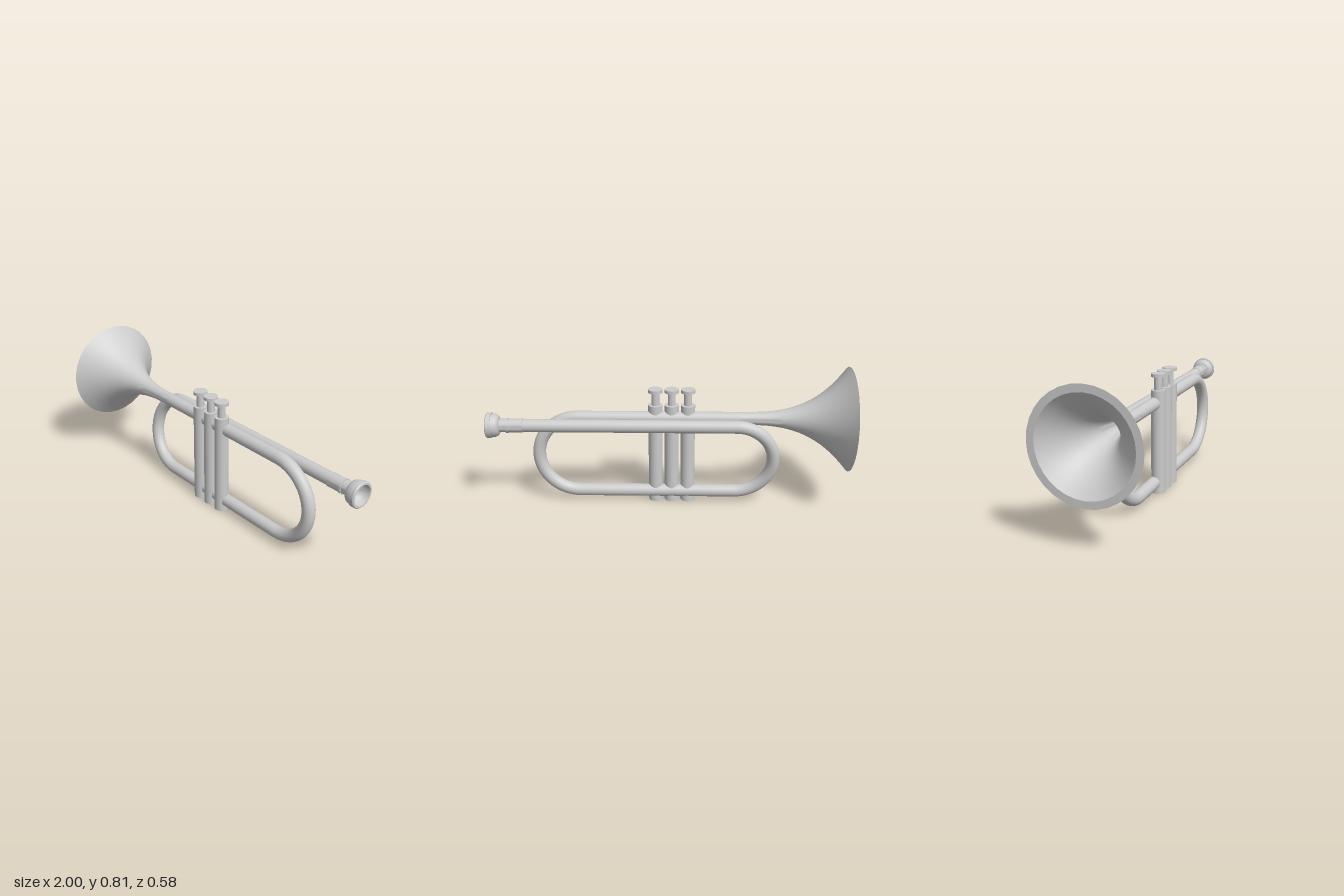
import * as THREE from 'three';
import { toCreasedNormals } from 'three/addons/utils/BufferGeometryUtils.js';

const TUBE_R = 0.036, TOP_Y = 0.515, LOW_Y = 0.061, PIPE_Y = 0.493, PIPE_Z = -0.075;

// Half-circle bend from one height to another, leaning evenly in z
class Bend extends THREE.Curve {
  constructor(x, y0, y1, z0, z1, dir) {
    super();
    Object.assign(this, { x, y0, y1, z0, z1, dir });
  }
  getPoint(t, target = new THREE.Vector3()) {
    const a = t * Math.PI, k = (1 - Math.cos(a)) / 2;
    const r = Math.abs(this.y1 - this.y0) / 2;
    return target.set(
      this.x + this.dir * r * Math.sin(a),
      THREE.MathUtils.lerp(this.y0, this.y1, k),
      THREE.MathUtils.lerp(this.z0, this.z1, k));
  }
}

export function createModel() {
  const group = new THREE.Group();
  const material = new THREE.MeshStandardMaterial({ color: 0xcccccc });
  const add = (name, geometry, parent = group) => {
    const mesh = new THREE.Mesh(geometry, material);
    mesh.name = name;
    parent.add(mesh);
    return mesh;
  };
  // Turned part along the x axis from [x, radius] pairs
  const turned = (profile, segments) => {
    const g = new THREE.LatheGeometry(profile.map(([x, r]) => new THREE.Vector2(r, x)), segments);
    g.rotateZ(-Math.PI / 2);
    return toCreasedNormals(g, 0.6);
  };

  // Bell: hollow inside, flat rim, flared outside
  const inside = [[-0.42, 0]], outside = [];
  for (let i = 0; i <= 20; i++) {
    const t = i / 20, flare = t ** 3;
    inside.push([-0.42 - 0.58 * t, 0.03 + 0.222 * flare]);
    outside.unshift([-0.4 - 0.6 * t, TUBE_R + 0.255 * flare]);
  }
  add('bell', turned([...inside, ...outside], 32)).position.y = TOP_Y;

  // Main tubing: bell tail, front bend, lower run, rear bend, leadpipe
  const v = (x, y, z) => new THREE.Vector3(x, y, z);
  const path = new THREE.CurvePath();
  path.add(new THREE.LineCurve3(v(-0.42, TOP_Y, 0), v(0.507, TOP_Y, 0)));
  path.add(new Bend(0.507, TOP_Y, LOW_Y, 0, 0, 1));
  path.add(new THREE.LineCurve3(v(0.507, LOW_Y, 0), v(-0.378, LOW_Y, 0)));
  path.add(new Bend(-0.378, LOW_Y, PIPE_Y, 0, PIPE_Z, -1));
  path.add(new THREE.LineCurve3(v(-0.378, PIPE_Y, PIPE_Z), v(0.81, PIPE_Y, PIPE_Z)));
  add('tubing', new THREE.TubeGeometry(path, 220, TUBE_R, 24, false));

  // Mouthpiece: receiver, ringed shank, cup and bore
  add('mouthpiece', turned([
    [0.8, 0], [0.8, 0.039], [0.88, 0.039], [0.88, 0.042], [0.892, 0.042], [0.892, 0.037],
    [0.928, 0.037], [0.93, 0.046], [0.938, 0.058], [0.95, 0.064], [0.972, 0.066],
    [0.972, 0.071], [0.995, 0.071], [1, 0.067], [1, 0.057],
    [0.98, 0.054], [0.96, 0.045], [0.945, 0.034], [0.86, 0.03], [0.86, 0],
  ], 32)).position.set(0, PIPE_Y, PIPE_Z);

  // Three valves with stems and finger buttons
  const cylinder = (r, y0, y1) =>
    new THREE.CylinderGeometry(r, r, y1 - y0, 32).translate(0, (y0 + y1) / 2, 0);
  for (let i = -1; i <= 1; i++) {
    const valve = new THREE.Group();
    valve.name = 'valve';
    valve.position.set(-0.02 + i * 0.091, 0, 0.013);
    add('valveCasing', cylinder(0.04, 0, 0.588), valve);
    add('valveStem', cylinder(0.022, 0.58, 0.665), valve);
    add('fingerButton', cylinder(0.04, 0.662, 0.68), valve);
    group.add(valve);
  }
  return group;
}
